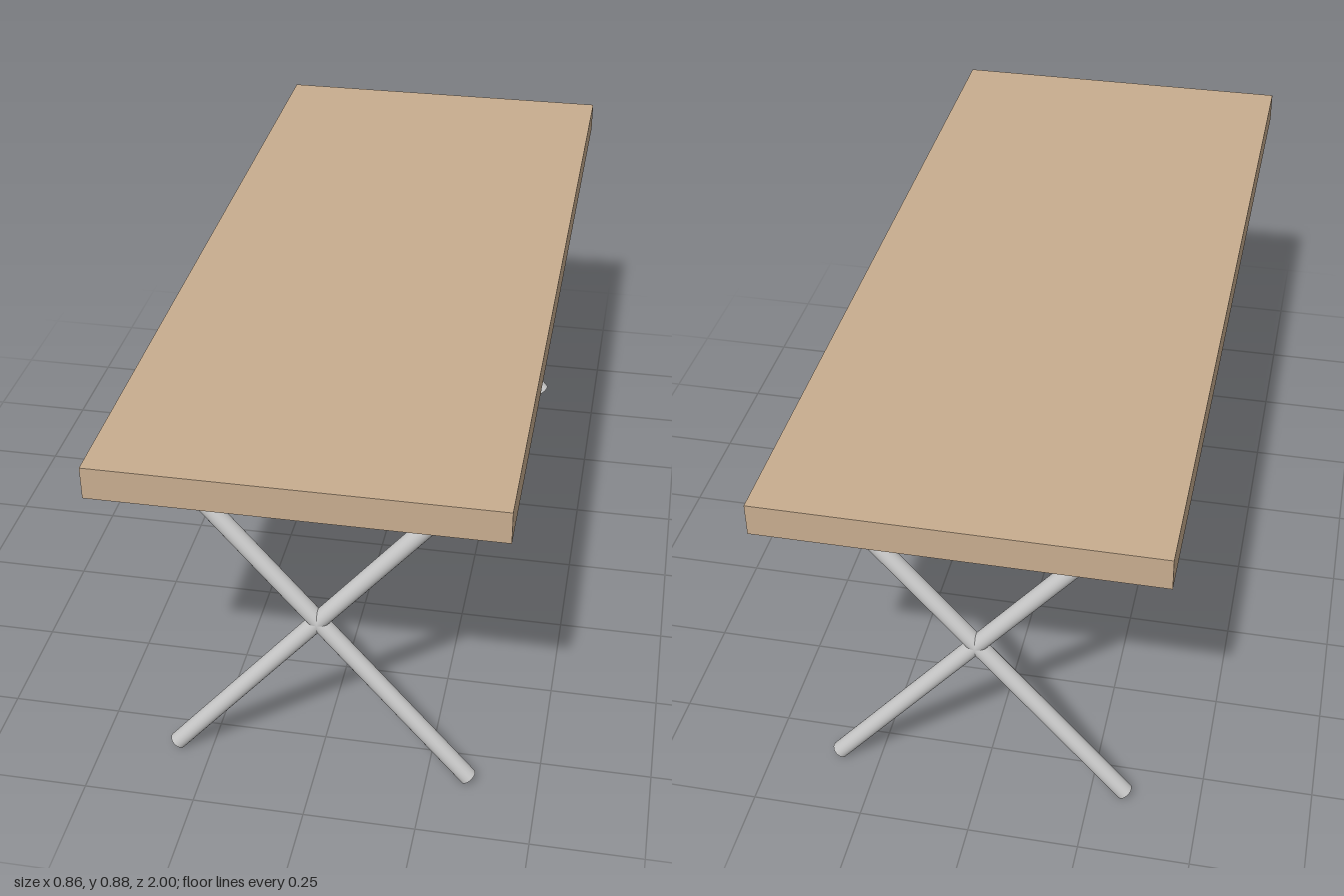
import * as THREE from 'three';

const WOOD = new THREE.MeshStandardMaterial({ color: 0xc8ad8f });
const METAL = new THREE.MeshStandardMaterial({ color: 0xcccccc });

// Round bar between two points, with square-cut ends
function bar(name, from, to, radius) {
  const axis = to.clone().sub(from);
  const mesh = new THREE.Mesh(new THREE.CylinderGeometry(radius, radius, axis.length(), 24), METAL);
  mesh.name = name;
  mesh.position.copy(from).add(to).multiplyScalar(0.5);
  mesh.quaternion.setFromUnitVectors(new THREE.Vector3(0, 1, 0), axis.normalize());
  return mesh;
}

// Two bars crossing in one plane; the upper ends sink into the top
function crossedLegs(name) {
  const legs = new THREE.Group();
  legs.name = name;
  for (const [barName, side] of [['leftFootBar', 1], ['rightFootBar', -1]]) {
    legs.add(bar(barName,
      new THREE.Vector3(side * 0.337, 0.0135, 0),
      new THREE.Vector3(side * -0.337, 0.819, 0), 0.02));
  }
  return legs;
}

export function createModel() {
  const table = new THREE.Group();
  table.name = 'table';

  // Table top
  const top = new THREE.Mesh(new THREE.BoxGeometry(0.862, 0.073, 2), WOOD);
  top.name = 'tableTop';
  top.position.y = 0.8395;
  table.add(top);

  // Crossed legs near each end, set slightly off centre
  for (const [name, z] of [['frontLegs', 0.833], ['backLegs', -0.833]]) {
    const legs = crossedLegs(name);
    legs.position.set(0.0075, 0, z);
    table.add(legs);
  }
  return table;
}
